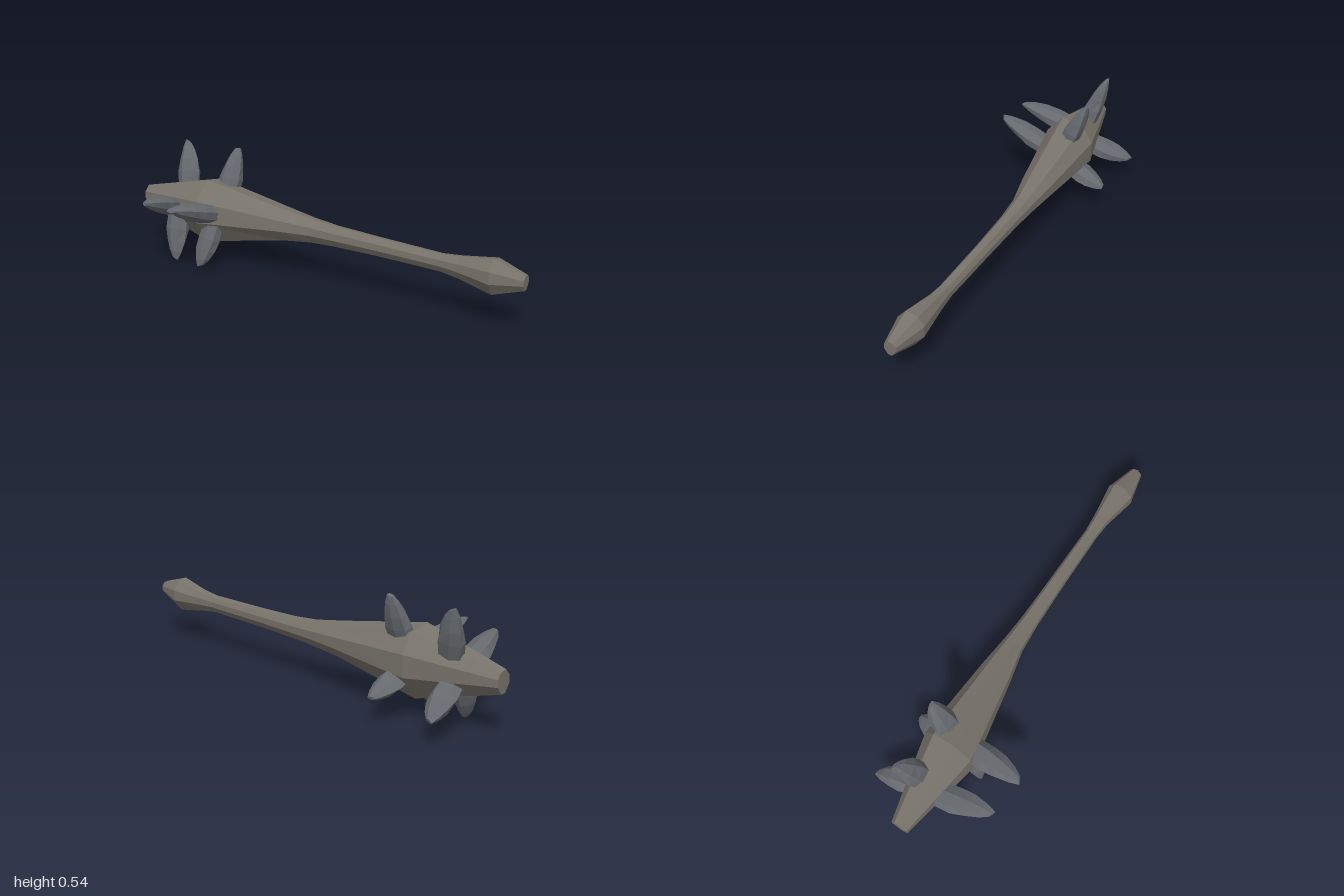
import * as THREE from 'three';

// Skin between matching rings of points (counter-clockwise seen from the last ring), capped at both ends
function loft(rings) {
  const pos = [];
  const n = rings[0].length;
  const tri = (...pts) => pts.forEach((p) => pos.push(p.x, p.y, p.z));
  const middle = (ring) => ring.reduce((s, p) => s.add(p), new THREE.Vector3()).divideScalar(n);
  const first = rings[0], last = rings[rings.length - 1];
  const c0 = middle(first), c1 = middle(last);
  for (let j = 0; j < n; j++) {
    const k = (j + 1) % n;
    for (let i = 0; i < rings.length - 1; i++) {
      const a = rings[i], b = rings[i + 1];
      tri(a[j], a[k], b[k]);
      tri(a[j], b[k], b[j]);
    }
    tri(c0, first[k], first[j]);
    tri(c1, last[j], last[k]);
  }
  const geo = new THREE.BufferGeometry();
  geo.setAttribute('position', new THREE.Float32BufferAttribute(pos, 3));
  geo.computeVertexNormals();
  return geo;
}

// Uneven eight-sided section of the club at its thickest, as [z, y] in half-widths
const SECTION = [
  [0.94, 0.41], [1, -0.25], [0.39, -0.98], [-0.26, -1],
  [-0.96, -0.28], [-0.98, 0.35], [-0.56, 0.85], [0.31, 0.98],
];

// Stations along the club: x, zMin, zMax, yMin, yMax
const STATIONS = [
  [-1, -0.075, 0.005, 0.215, 0.315],
  [-0.61, -0.173, 0.073, 0.1, 0.415],
  [-0.2, -0.147, -0.004, 0.18, 0.337],
  [-0.05, -0.133, -0.038, 0.196, 0.312],
  [0.08, -0.125, -0.048, 0.202, 0.3],
  [0.3, -0.12, -0.054, 0.206, 0.293],
  [0.61, -0.115, -0.056, 0.206, 0.287],
  [0.7, -0.122, -0.05, 0.194, 0.297],
  [0.86, -0.142, -0.018, 0.165, 0.325],
  [1, -0.102, -0.048, 0.214, 0.282],
];

// Spike rings: position along the spike, half-width along the club, half-width across it
const SPIKE = [
  [0, 0.055, 0.042], [0.38, 0.061, 0.043], [0.62, 0.052, 0.036],
  [0.84, 0.035, 0.023], [0.98, 0.017, 0.009],
];

function spikeGeometry(base, tip, turn, tilt) {
  const sides = 7;
  const d = tip.clone().sub(base);
  const length = d.length();
  d.normalize();
  const u = new THREE.Vector3(1, 0, 0).addScaledVector(d, -d.x).normalize();
  const v = d.clone().cross(u);
  return loft(SPIKE.map(([t, wu, wv], i) => Array.from({ length: sides }, (_, j) => {
    const a = (j / sides) * Math.PI * 2 + turn;
    const rough = 1 + 0.1 * Math.sin(j * 2.4 + turn * 3 + (i > 1 ? 1 : 0));
    return base.clone()
      .addScaledVector(d, t * length + tilt * t * t * Math.cos(a))
      .addScaledVector(u, wu * rough * Math.cos(a))
      .addScaledVector(v, wv * rough * Math.sin(a));
  })));
}

// Base and tip of each spike
const SPIKES = [
  ['upperSpikeOuter', [-0.775, 0.31, -0.07], [-0.825, 0.545, -0.14], -0.012],
  ['upperSpikeInner', [-0.545, 0.32, -0.075], [-0.537, 0.548, -0.165], 0.004],
  ['frontSpikeOuter', [-0.79, 0.255, 0], [-0.752, 0.343, 0.275], 0.01],
  ['frontSpikeInner', [-0.545, 0.26, 0.01], [-0.572, 0.35, 0.296], -0.012],
  ['lowerSpikeOuter', [-0.775, 0.23, 0.005], [-0.748, 0.008, 0.085], 0.008],
  ['lowerSpikeInner', [-0.545, 0.22, 0.01], [-0.583, 0.008, 0.09], -0.012],
  ['backSpikeOuter', [-0.785, 0.205, -0.08], [-0.838, 0.13, -0.288], -0.012],
  ['backSpikeInner', [-0.55, 0.2, -0.1], [-0.536, 0.135, -0.274], 0.004],
];

export function createModel() {
  const model = new THREE.Group();
  model.name = 'spikedClub';
  const wood = new THREE.MeshStandardMaterial({ color: 0x78736a, flatShading: true });
  const stone = new THREE.MeshStandardMaterial({ color: 0x666a6f, flatShading: true });

  // Head, handle and flared pommel in one tapering body
  const rings = STATIONS.map(([x, z0, z1, y0, y1]) => SECTION.map(([z, y]) => new THREE.Vector3(
    x, (y0 + y1) / 2 + (y * (y1 - y0)) / 2, (z0 + z1) / 2 + (z * (z1 - z0)) / 2)));
  const body = new THREE.Mesh(loft(rings), wood);
  body.name = 'clubBody';
  model.add(body);

  // Two rows of four chipped spikes around the head
  SPIKES.forEach(([name, base, tip, tilt], i) => {
    const geo = spikeGeometry(new THREE.Vector3(...base), new THREE.Vector3(...tip), i * 0.7, tilt);
    const spike = new THREE.Mesh(geo, stone);
    spike.name = name;
    model.add(spike);
  });
  return model;
}
